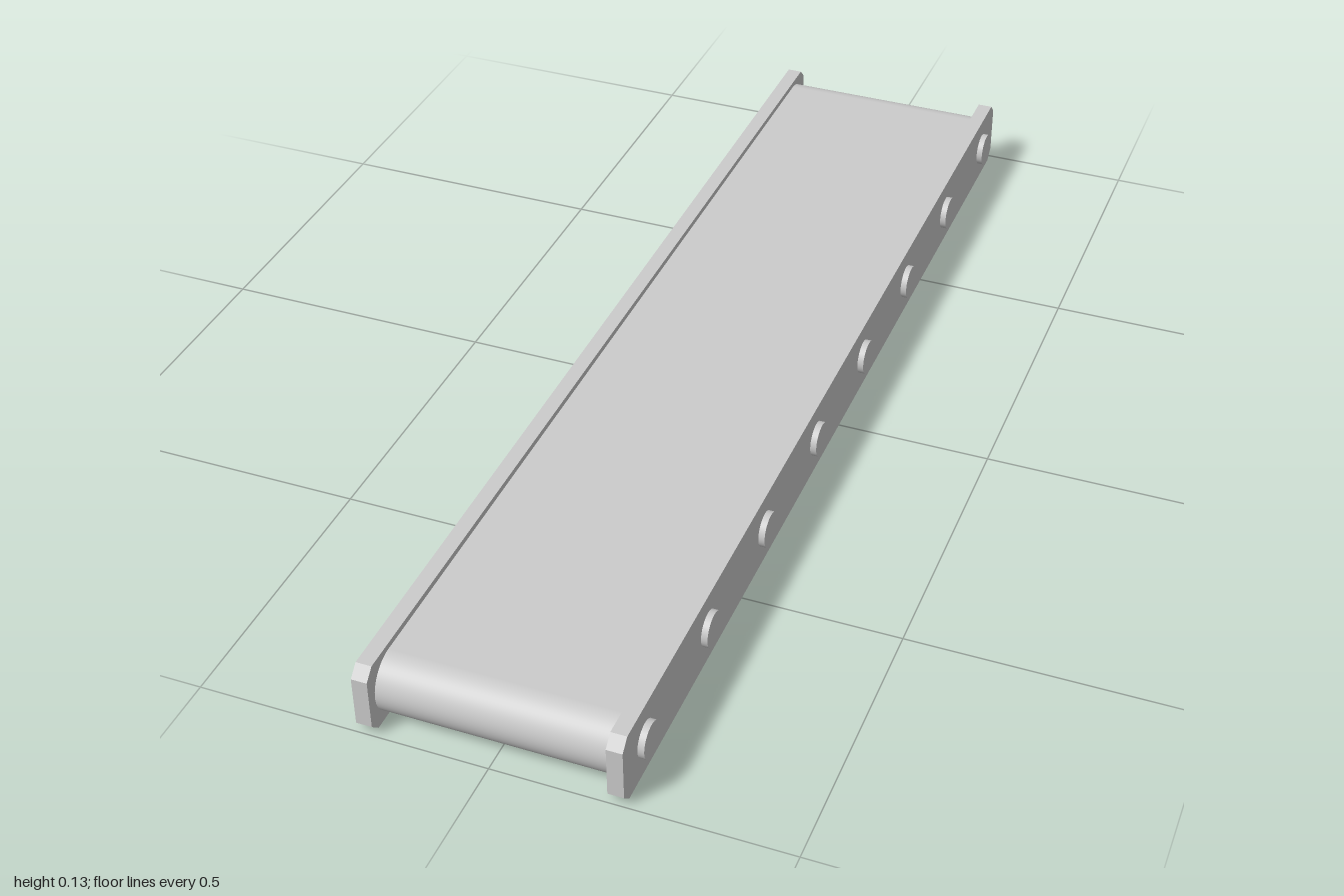
import * as THREE from 'three';

const material = new THREE.MeshStandardMaterial({ color: 0xcccccc });
const CENTRE_Y = 0.065;

// Extrudes a side profile (shape x = -z, shape y = y) along x, centred on the given x
function extrudeAcross(shape, width, x, curveSegments) {
  const geometry = new THREE.ExtrudeGeometry(shape, { depth: width, bevelEnabled: false, curveSegments });
  geometry.translate(0, 0, -width / 2);
  geometry.rotateY(Math.PI / 2);
  geometry.translate(x, 0, 0);
  return geometry;
}

function addMesh(parent, name, geometry) {
  const mesh = new THREE.Mesh(geometry, material);
  mesh.name = name;
  parent.add(mesh);
  return mesh;
}

// Long plate with chamfered corners
function railShape() {
  const h = 0.129, c = 0.019;
  return new THREE.Shape([
    [-1, c], [-1 + c, 0], [1 - c, 0], [1, c],
    [1, h - c], [1 - c, h], [-1 + c, h], [-1, h - c],
  ].map(([x, y]) => new THREE.Vector2(x, y)));
}

// Belt loop with rounded ends
function beltShape() {
  const r = 0.055, end = 0.983 - r;
  const shape = new THREE.Shape();
  shape.moveTo(-end, CENTRE_Y - r);
  shape.lineTo(end, CENTRE_Y - r);
  shape.absarc(end, CENTRE_Y, r, -Math.PI / 2, Math.PI / 2, false);
  shape.lineTo(-end, CENTRE_Y + r);
  shape.absarc(-end, CENTRE_Y, r, Math.PI / 2, Math.PI * 1.5, false);
  return shape;
}

// Smooth normals on the rounded belt surface, leaving the end caps flat
function smoothBelt(geometry) {
  const { position, normal } = geometry.attributes;
  const end = 0.983 - 0.055;
  for (let i = 0; i < position.count; i++) {
    if (Math.abs(normal.getX(i)) > 0.5) continue;
    const z = position.getZ(i);
    const n = new THREE.Vector3(0, position.getY(i) - CENTRE_Y, z - THREE.MathUtils.clamp(z, -end, end)).normalize();
    normal.setXYZ(i, n.x, n.y, n.z);
  }
  return geometry;
}

export function createModel() {
  const model = new THREE.Group();
  model.name = 'conveyor';

  addMesh(model, 'belt', smoothBelt(extrudeAcross(beltShape(), 0.39, 0, 24)));

  const pin = new THREE.CylinderGeometry(0.031, 0.031, 0.04, 32);
  pin.rotateZ(Math.PI / 2);

  for (const [side, sign] of [['left', 1], ['right', -1]]) {
    addMesh(model, side + 'Rail', extrudeAcross(railShape(), 0.027, sign * 0.2095, 1));
    // Roller axle ends pass through the rail
    for (let i = 0; i < 8; i++) {
      const axle = addMesh(model, side + 'AxleEnd' + (i + 1), pin);
      axle.position.set(sign * 0.214, CENTRE_Y, 0.915 - i * (1.83 / 7));
    }
  }
  return model;
}
